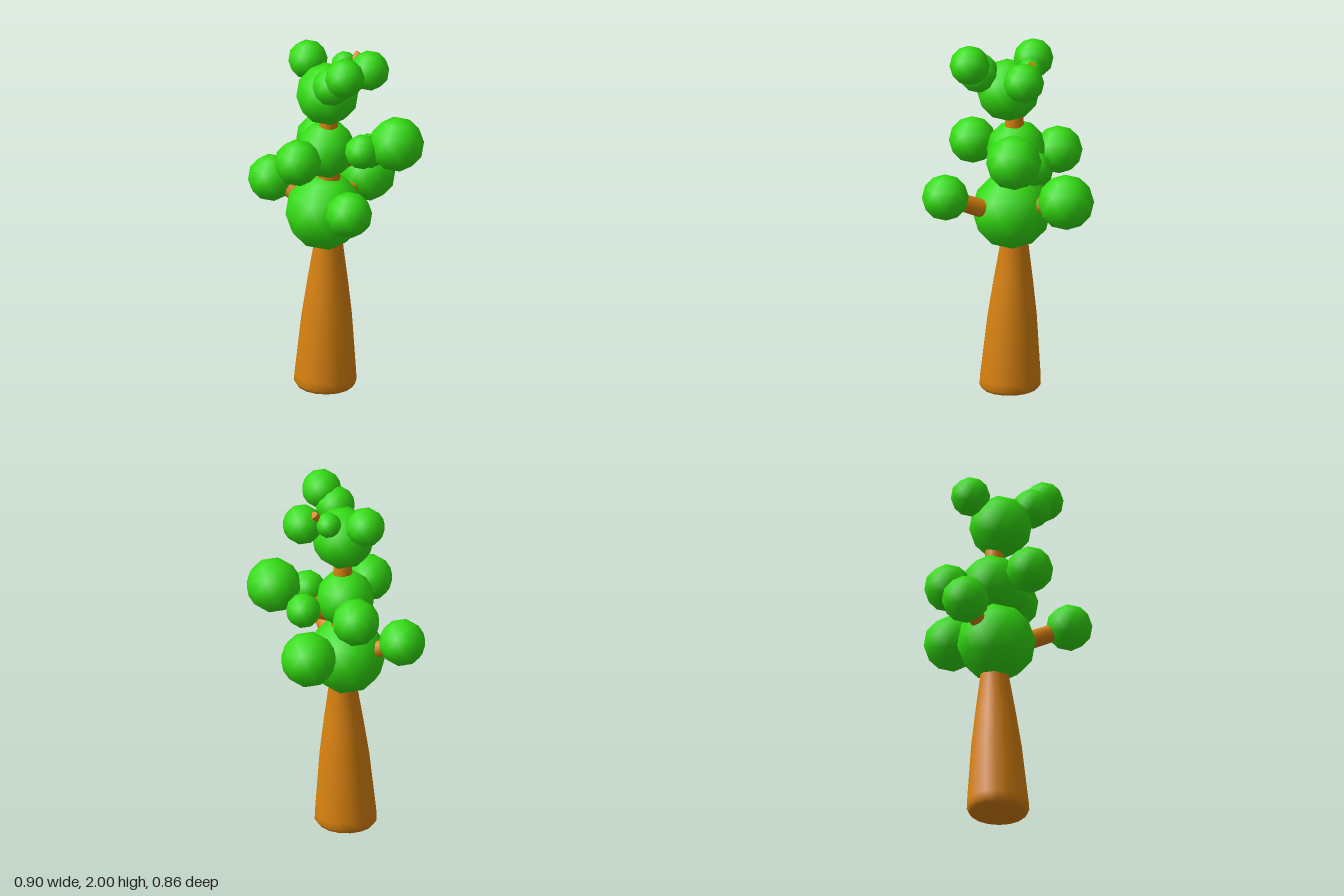
import * as THREE from 'three';

const V = (x, y, z) => new THREE.Vector3(x, y, z);
const bark = new THREE.MeshStandardMaterial({ color: 0xd9820f });
const leaf = new THREE.MeshStandardMaterial({ color: 0x33dd11 });

// Faceted ball with one corner pointing straight up
const ball = new THREE.IcosahedronGeometry(1, 1);
ball.rotateZ(-Math.atan(2 / (1 + Math.sqrt(5))));

// Large foliage balls threaded on the trunk: [x, y, z, radius]
const crowns = [
  [-0.02, 1.02, 0.065, 0.213],
  [-0.03, 1.37, 0.04, 0.16],
  [0.005, 1.71, 0.07, 0.17],
];

// Side foliage: [x, y, z, radius, height where its branch leaves the trunk, branch radius]
const sides = [
  [-0.02, 1.13, -0.28, 0.151, 1.03, 0.05],
  [-0.33, 1.15, 0.145, 0.128, 1.0, 0.05],
  [0.333, 1.16, 0.26, 0.126, 0.98, 0.053],
  [0.302, 1.43, -0.155, 0.149, 1.3, 0.035],
  [-0.21, 1.34, -0.11, 0.13, 1.26, 0.035],
  [0, 1.38, 0.3, 0.127, 1.32, 0.035],
  [0.18, 1.395, -0.015, 0.095, 1.32, 0.03],
  [0.105, 1.335, -0.155, 0.095, 1.24, 0.03],
  [0.225, 1.895, 0.175, 0.108, 1.72, 0.027],
  [0.135, 1.825, 0.175, 0.108, 1.7, 0.027],
  [-0.175, 1.845, 0.025, 0.107, 1.7, 0.027],
  [0.14, 1.825, -0.115, 0.109, 1.7, 0.027],
  [0.005, 1.84, -0.065, 0.07, 1.7, 0.02],
];

function foliage(name, [x, y, z, r]) {
  const m = new THREE.Mesh(ball, leaf);
  m.name = name;
  m.position.set(x, y, z);
  m.scale.setScalar(r);
  return m;
}

// Tapered limb between two points
function branch(a, b, r) {
  const dir = b.clone().sub(a);
  const m = new THREE.Mesh(new THREE.CylinderGeometry(r * 0.85, r, dir.length(), 10), bark);
  m.name = 'branch';
  m.position.copy(a).add(b).multiplyScalar(0.5);
  m.quaternion.setFromUnitVectors(V(0, 1, 0), dir.normalize());
  return m;
}

export function createModel() {
  const tree = new THREE.Group();
  tree.name = 'tree';

  // Trunk: flared profile, leaning slightly back as it rises
  const profile = [
    [0, 0.008], [0.12, 0.01], [0.155, 0.018], [0.17, 0.04], [0.168, 0.08], [0.157, 0.2],
    [0.137, 0.42], [0.11, 0.62], [0.08, 0.82], [0.065, 1.2], [0.052, 1.53], [0.045, 1.72], [0, 1.72],
  ].map(([r, y]) => new THREE.Vector2(r, y));
  const trunkGeo = new THREE.LatheGeometry(profile, 16);
  const p = trunkGeo.attributes.position;
  for (let i = 0; i < p.count; i++) {
    const lean = Math.max(0, 1 - p.getY(i) / 0.85);
    p.setX(i, p.getX(i) - 0.012);
    p.setZ(i, p.getZ(i) * 0.97 + 0.042 + 0.028 * lean);
  }
  const trunk = new THREE.Mesh(trunkGeo, bark);
  trunk.name = 'trunk';
  tree.add(trunk);

  crowns.forEach((c) => tree.add(foliage('crownFoliage', c)));

  sides.forEach((s) => {
    const [x, y, z, , startY, r] = s;
    tree.add(foliage('sideFoliage', s), branch(V(-0.012, startY, 0.045), V(x, y, z), r));
  });

  // Bare limb poking up beside the rear top foliage
  tree.add(branch(V(0.02, 1.72, 0), V(0.065, 1.905, -0.12), 0.027));
  return tree;
}
